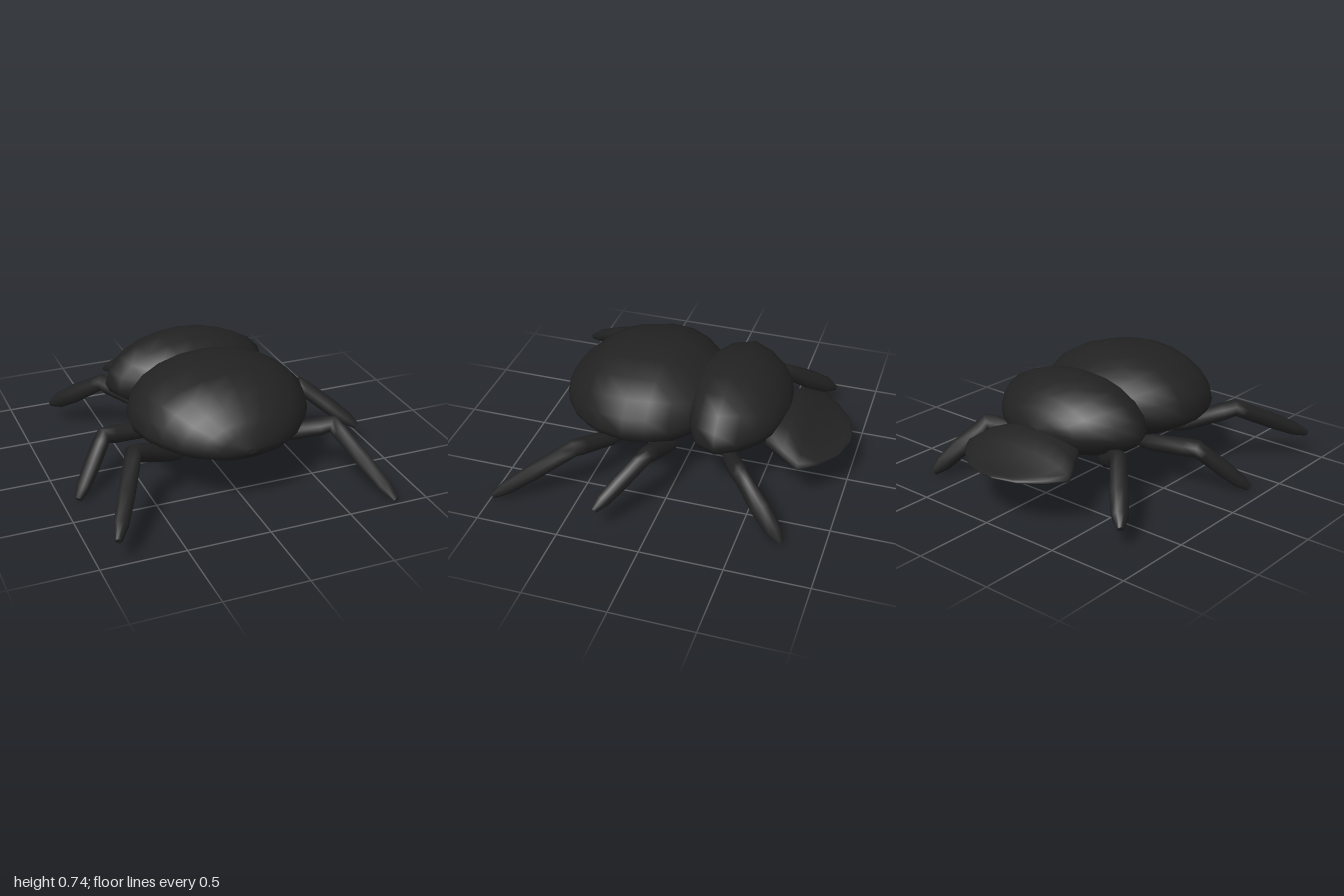
import * as THREE from 'three';

const shell = new THREE.MeshStandardMaterial({ color: 0x222222 });
shell.name = 'black shell';

// Skin a list of equal rings (arrays of Vector3) and close both ends
function loft(rings) {
  const n = rings[0].length, pos = [], index = [];
  const put = (p) => pos.push(p.x, p.y, p.z) / 3 - 1;
  rings.forEach((ring) => ring.forEach(put));
  for (let i = 0; i < rings.length - 1; i++) {
    for (let j = 0; j < n; j++) {
      const a = i * n + j, b = i * n + (j + 1) % n;
      index.push(a, b, b + n, a, b + n, a + n);
    }
  }
  [rings[0], rings[rings.length - 1]].forEach((ring, end) => {
    const mid = new THREE.Vector3();
    ring.forEach((p) => mid.addScaledVector(p, 1 / n));
    const c = put(mid), first = c + 1;
    ring.forEach(put);
    for (let j = 0; j < n; j++) {
      const a = first + j, b = first + (j + 1) % n;
      if (end) index.push(c, a, b); else index.push(c, b, a);
    }
  });
  const g = new THREE.BufferGeometry();
  g.setAttribute('position', new THREE.Float32BufferAttribute(pos, 3));
  g.setIndex(index);
  g.computeVertexNormals();
  return g;
}

// Body part from stations [z, half width, bottom, widest height, top], in rising z
function body(name, stations, sides = 20) {
  const rings = stations.map(([z, w, lo, mid, hi]) =>
    Array.from({ length: sides }, (_, j) => {
      const a = j / sides * Math.PI * 2, s = Math.sin(a);
      return new THREE.Vector3(-0.02 + w * Math.cos(a), mid + s * (s > 0 ? hi - mid : mid - lo), z);
    }));
  const mesh = new THREE.Mesh(loft(rings), shell);
  mesh.name = name;
  return mesh;
}

// Bent leg: hip, knee and foot, with a swollen thigh and tapering shin
function leg(name, hip, knee, foot, shin) {
  const [h, k, f] = [hip, knee, foot].map((p) => new THREE.Vector3(...p));
  const at = (a, b, t) => a.clone().lerp(b, t);
  const path = [[h, 0.035], [at(h, k, 0.2), 0.05], [at(h, k, 0.82), 0.055], [k, 0.052],
    [at(k, f, 0.12), 0.05], [at(k, f, 0.5), shin], [at(k, f, 0.82), shin * 0.85], [f, 0.02]];
  const rings = path.map(([p, r], i) => {
    const prev = path[Math.max(i - 1, 0)][0], next = path[Math.min(i + 1, path.length - 1)][0];
    const w = next.clone().sub(prev).normalize();
    const v = new THREE.Vector3(0, 1, 0).addScaledVector(w, -w.y).normalize();
    const u = v.clone().cross(w);
    return Array.from({ length: 8 }, (_, j) => {
      const a = (j + 0.5) / 8 * Math.PI * 2;
      return p.clone().addScaledVector(u, r * Math.cos(a)).addScaledVector(v, r * Math.sin(a));
    });
  });
  const mesh = new THREE.Mesh(loft(rings), shell);
  mesh.name = name;
  return mesh;
}

export function createModel() {
  const beetle = new THREE.Group();
  beetle.name = 'beetle';

  beetle.add(
    body('abdomen', [
      [-0.10, 0.37, 0.29, 0.45, 0.66], [0.00, 0.47, 0.26, 0.44, 0.715], [0.12, 0.53, 0.25, 0.44, 0.75],
      [0.26, 0.55, 0.25, 0.44, 0.75], [0.42, 0.51, 0.265, 0.43, 0.73], [0.52, 0.45, 0.28, 0.42, 0.70],
      [0.62, 0.365, 0.30, 0.41, 0.63], [0.70, 0.26, 0.325, 0.41, 0.56], [0.74, 0.17, 0.35, 0.41, 0.50],
      [0.77, 0.03, 0.39, 0.41, 0.42]]),
    body('thorax', [
      [-0.62, 0.04, 0.43, 0.45, 0.47], [-0.60, 0.17, 0.38, 0.45, 0.52], [-0.57, 0.27, 0.34, 0.45, 0.57],
      [-0.51, 0.36, 0.30, 0.45, 0.635], [-0.41, 0.455, 0.27, 0.44, 0.695], [-0.29, 0.525, 0.26, 0.44, 0.72],
      [-0.17, 0.48, 0.27, 0.44, 0.70], [-0.10, 0.36, 0.285, 0.45, 0.66]]),
    body('head', [
      [-1.00, 0.04, 0.298, 0.303, 0.31], [-0.96, 0.19, 0.29, 0.303, 0.325], [-0.86, 0.325, 0.28, 0.305, 0.345],
      [-0.76, 0.405, 0.27, 0.31, 0.41], [-0.66, 0.355, 0.26, 0.34, 0.465], [-0.54, 0.28, 0.26, 0.36, 0.46]]),
  );

  // Legs in mid stride, so each side lifts different feet
  beetle.add(
    leg('leftFrontLeg', [0.28, 0.25, -0.32], [0.52, 0.31, -0.46], [0.70, 0.02, -0.755], 0.06),
    leg('rightFrontLeg', [-0.30, 0.25, -0.32], [-0.52, 0.37, -0.46], [-0.78, 0.13, -0.755], 0.06),
    leg('leftMiddleLeg', [0.27, 0.25, 0.03], [0.61, 0.39, 0.08], [0.90, 0.155, 0.30], 0.05),
    leg('rightMiddleLeg', [-0.30, 0.25, 0.03], [-0.68, 0.29, 0.08], [-0.91, 0.025, 0.30], 0.05),
    leg('leftHindLeg', [0.27, 0.24, 0.36], [0.61, 0.34, 0.53], [0.805, 0.025, 0.985], 0.05),
    leg('rightHindLeg', [-0.30, 0.24, 0.36], [-0.64, 0.40, 0.53], [-0.885, 0.15, 0.985], 0.05),
  );

  // Small spines along the left front shin
  for (let i = 0; i < 4; i++) {
    const t = 0.35 + i * 0.15;
    const spine = new THREE.Mesh(new THREE.ConeGeometry(0.006, 0.05, 5), shell);
    spine.name = 'shinSpine';
    spine.position.set(0.52 + 0.18 * t + 0.055, 0.31 - 0.29 * t, -0.46 - 0.295 * t + 0.02);
    spine.rotation.z = -Math.PI / 2;
    beetle.add(spine);
  }
  return beetle;
}
